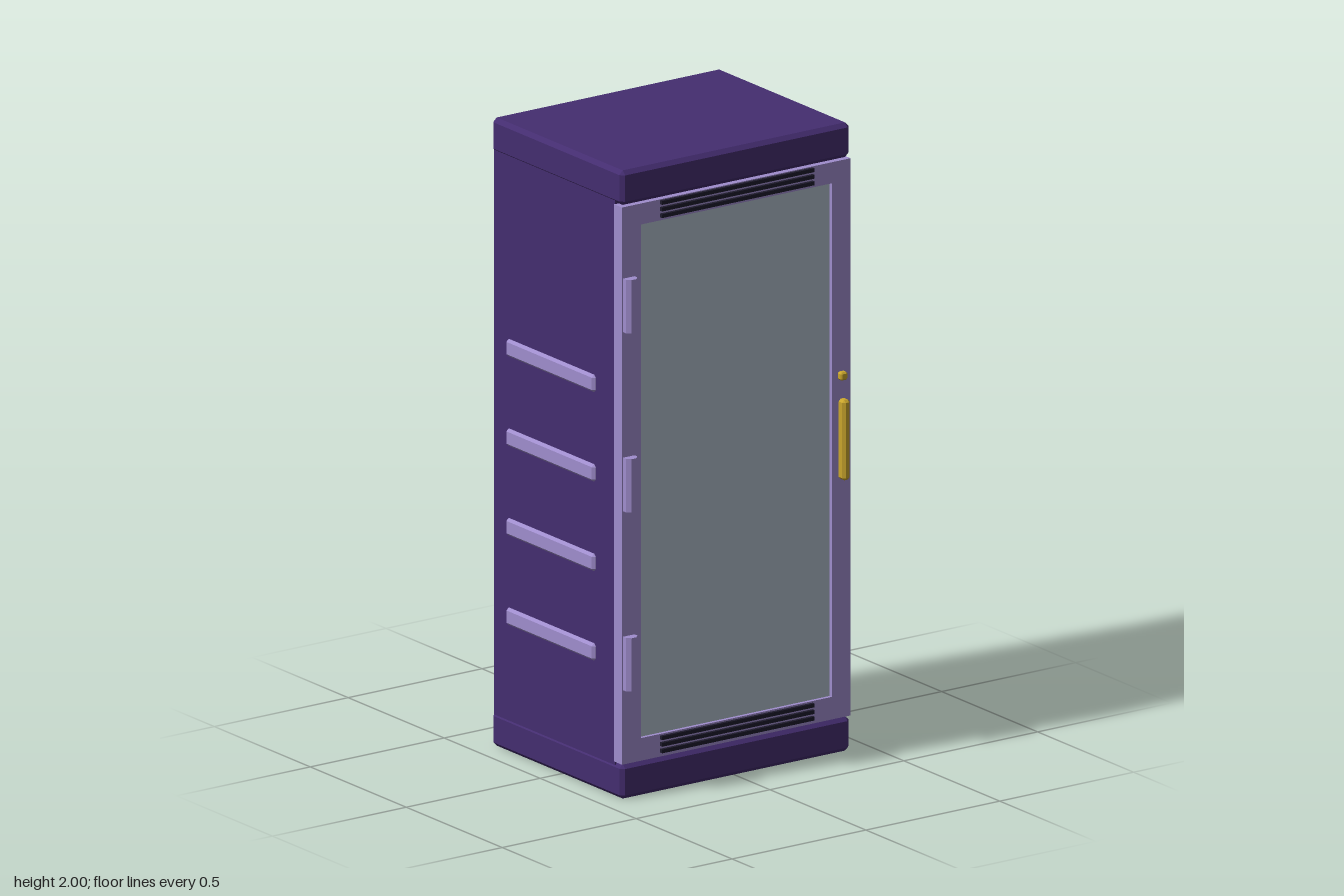
import * as THREE from 'three';
import { ConvexGeometry } from 'three/addons/geometries/ConvexGeometry.js';

const mat = (name, color) => new THREE.MeshStandardMaterial({ name, color });

// Box with all edges and corners cut at 45 degrees
function chamferBox(w, h, d, c) {
  const points = [];
  for (const sx of [-1, 1]) for (const sy of [-1, 1]) for (const sz of [-1, 1]) {
    for (let axis = 0; axis < 3; axis++) {
      const inset = [c, c, c];
      inset[axis] = 0;
      points.push(new THREE.Vector3(
        sx * (w / 2 - inset[0]), sy * (h / 2 - inset[1]), sz * (d / 2 - inset[2])));
    }
  }
  return new ConvexGeometry(points);
}

// Flat rectangular frame in the xy plane, from z = 0 to z = depth
function frameGeometry(x, y0, y1, ix, iy0, iy1, depth) {
  const rect = (path, a, b, c) => path.moveTo(-a, b).lineTo(a, b).lineTo(a, c).lineTo(-a, c).closePath();
  const shape = new THREE.Shape();
  rect(shape, x, y0, y1);
  const hole = new THREE.Path();
  rect(hole, ix, iy0, iy1);
  shape.holes.push(hole);
  return new THREE.ExtrudeGeometry(shape, { depth, bevelEnabled: false });
}

export function createModel() {
  const purple = mat('dark purple', 0x442d70);
  const lavender = mat('lavender', 0x9f8dcd);
  const glass = mat('pale glass', 0xafbdca);
  const gold = mat('gold', 0xc9a52c);
  const black = mat('vent black', 0x1d1a2b);

  const model = new THREE.Group();
  model.name = 'cabinet';
  const add = (name, geometry, material, x = 0, y = 0, z = 0) => {
    const mesh = new THREE.Mesh(geometry, material);
    mesh.name = name;
    mesh.position.set(x, y, z);
    model.add(mesh);
    return mesh;
  };

  // Plinth and top cap
  const cap = chamferBox(0.856, 0.11, 0.682, 0.013);
  add('plinth', cap, purple, 0, 0.055, -0.016);
  add('topCap', cap, purple, 0, 1.945, -0.016);

  // Body with a recessed back panel
  add('body', new THREE.BoxGeometry(0.848, 1.8, 0.61), purple, 0, 1, -0.02);
  add('backFrame', frameGeometry(0.424, 0.1, 1.9, 0.37, 0.13, 1.87, 0.022), purple, 0, 0, -0.347);

  // Glazed door
  add('doorFrame', frameGeometry(0.427, 0.113, 1.887, 0.357, 0.185, 1.82, 0.043), lavender, 0, 0, 0.282);
  add('doorGlass', new THREE.BoxGeometry(0.716, 1.637, 0.02), glass, 0, 1.0025, 0.303);

  // Vent slats above and below the glass
  const slat = new THREE.BoxGeometry(0.57, 0.012, 0.016);
  for (const y of [0.153, 1.857]) {
    for (const i of [-1, 0, 1]) add('ventSlat', slat, black, 0, y + i * 0.021, 0.328);
  }

  // Hinges on the right edge of the door
  const hinge = new THREE.CylinderGeometry(0.0235, 0.0235, 0.17, 8).rotateY(Math.PI / 8).toNonIndexed();
  hinge.computeVertexNormals();
  for (const y of [0.435, 1.005, 1.575]) add('hinge', hinge, lavender, -0.402, y, 0.331);

  // Handle and lock
  add('handle', chamferBox(0.028, 0.256, 0.034, 0.008), gold, 0.392, 1.003, 0.34);
  add('lock', chamferBox(0.026, 0.026, 0.026, 0.005), gold, 0.392, 1.203, 0.33);

  // Four ribs on each side
  const rib = chamferBox(0.024, 0.055, 0.46, 0.008);
  for (const side of [-1, 1]) {
    for (let i = 0; i < 4; i++) add('sideRib', rib, lavender, side * 0.422, 0.434 + i * 0.285, -0.045);
  }

  return model;
}
